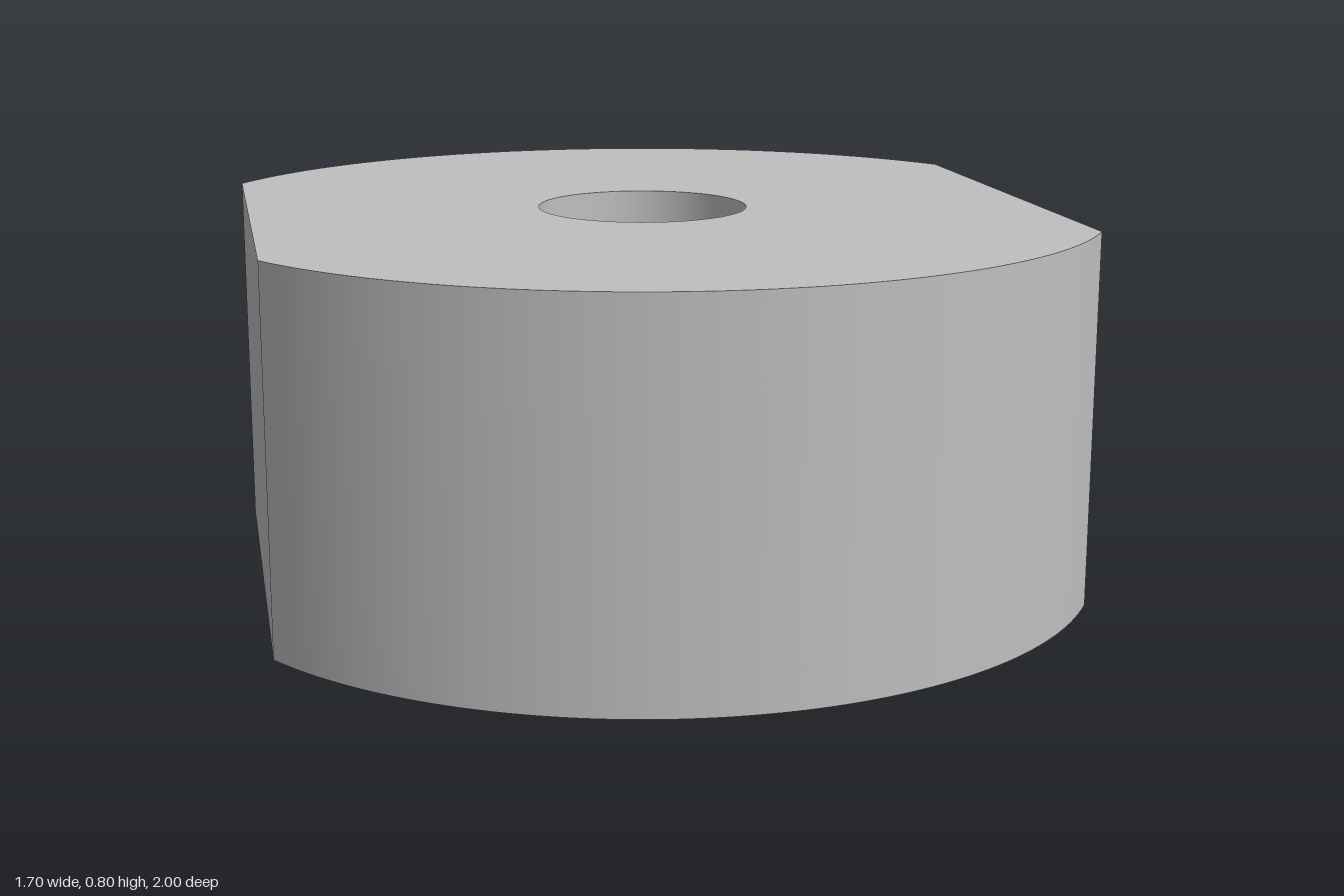
import * as THREE from 'three';

const RADIUS = 1, FLAT_X = 0.85, HEIGHT = 0.8;
const BORE = 0.227, COUNTERBORE = 0.46, LEDGE_Y = 0.7;
const SEGMENTS = 64;

export function createModel() {
  const group = new THREE.Group();
  const metal = new THREE.MeshStandardMaterial({ color: 0xbfbfbf });
  metal.name = 'plain grey metal';

  const add = (name, geometry) => {
    const mesh = new THREE.Mesh(geometry, metal);
    mesh.name = name;
    group.add(mesh);
    return mesh;
  };

  const halfArc = Math.asin(FLAT_X / RADIUS);
  const flatDepth = 2 * RADIUS * Math.cos(halfArc);

  // End face: a disc with two flats and a round hole
  const endFace = (holeRadius) => {
    const shape = new THREE.Shape();
    shape.absarc(0, 0, RADIUS, Math.PI / 2 - halfArc, Math.PI / 2 + halfArc, false);
    shape.absarc(0, 0, RADIUS, 1.5 * Math.PI - halfArc, 1.5 * Math.PI + halfArc, false);
    shape.closePath();
    const hole = new THREE.Path();
    hole.absarc(0, 0, holeRadius, 0, Math.PI * 2, true);
    shape.holes.push(hole);
    return new THREE.ShapeGeometry(shape, SEGMENTS / 2);
  };
  add('topFace', endFace(BORE).rotateX(-Math.PI / 2).translate(0, HEIGHT, 0));
  add('bottomFace', endFace(COUNTERBORE).rotateX(Math.PI / 2));

  // Curved walls at front and back
  for (const [name, angle] of [['frontWall', 0], ['backWall', Math.PI]]) {
    add(name, new THREE.CylinderGeometry(RADIUS, RADIUS, HEIGHT, SEGMENTS, 1, true,
      angle - halfArc, 2 * halfArc).translate(0, HEIGHT / 2, 0));
  }

  // Flat sides
  for (const [name, side] of [['leftFlat', 1], ['rightFlat', -1]]) {
    add(name, new THREE.PlaneGeometry(flatDepth, HEIGHT)
      .rotateY(side * Math.PI / 2).translate(side * FLAT_X, HEIGHT / 2, 0));
  }

  // Stepped bore, running downwards so that its faces point inwards
  const profile = [[BORE, HEIGHT], [BORE, LEDGE_Y], [COUNTERBORE, LEDGE_Y], [COUNTERBORE, 0]]
    .map(([r, y]) => new THREE.Vector2(r, y));
  ['boreWall', 'boreLedge', 'counterboreWall'].forEach((name, i) => {
    add(name, new THREE.LatheGeometry([profile[i], profile[i + 1]], SEGMENTS));
  });

  return group;
}
